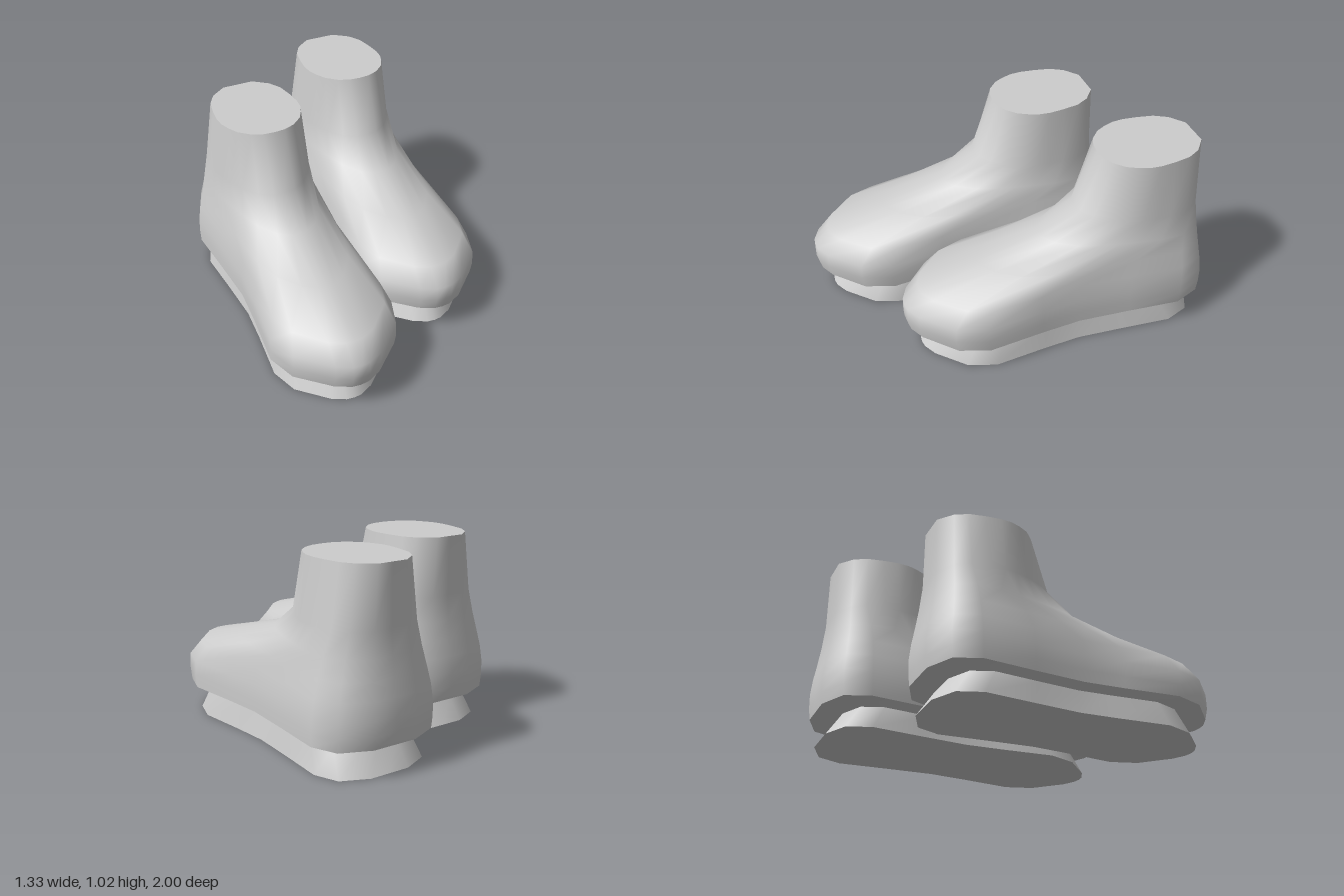
import * as THREE from 'three';

// Half outlines [x, z], from the toe round the side to the heel
const FOOT = [[0, .665], [.045, .66], [.125, .62], [.285, .47], [.34, .31], [.31, 0], [.295, -.22], [.315, -.5], [.34, -.79], [.285, -.93], [.125, -1], [0, -1]];
const SHOULDER = [[0, .58], [.045, .575], [.12, .535], [.255, .39], [.302, .25], [.288, 0], [.28, -.22], [.3, -.5], [.325, -.79], [.275, -.92], [.125, -.99], [0, -.99]];
const INSTEP = [[0, .26], [.04, .25], [.115, .2], [.2, .08], [.245, -.08], [.262, -.2], [.27, -.35], [.285, -.53], [.302, -.79], [.255, -.91], [.12, -.975], [0, -.975]];
const THROAT = [[0, -.09], [.045, -.095], [.11, -.14], [.18, -.25], [.215, -.36], [.24, -.46], [.26, -.56], [.28, -.67], [.282, -.8], [.23, -.9], [.11, -.962], [0, -.962]];
const ANKLE = [[0, -.29], [.06, -.295], [.13, -.34], [.19, -.42], [.23, -.5], [.25, -.57], [.26, -.64], [.262, -.72], [.25, -.82], [.2, -.895], [.1, -.95], [0, -.95]];
const CUFF = [[0, -.4], [.06, -.405], [.12, -.43], [.175, -.48], [.205, -.535], [.225, -.59], [.23, -.65], [.222, -.73], [.205, -.82], [.165, -.89], [.085, -.952], [0, -.952]];

// Foot outline resized to a half width and a toe-to-heel range
const fit = (halfWidth, toe, heel) => FOOT.map(([x, z]) => [
  x * halfWidth / .34, heel + (z + 1) / 1.665 * (toe - heel)]);

// Full closed ring at height y, mirrored from a half outline
function ring(y, half) {
  const other = half.slice(1, -1).reverse().map(([x, z]) => [-x, z]);
  return [...half, ...other].map(([x, z]) => [x, y, z]);
}

function geometry(points, index) {
  const g = new THREE.BufferGeometry();
  g.setAttribute('position', new THREE.Float32BufferAttribute(points.flat(), 3));
  g.setIndex(index);
  g.computeVertexNormals();
  return g;
}

// Smooth wall through a stack of rings, bottom to top
function loft(rings) {
  const n = rings[0].length, index = [];
  for (let i = 0; i < rings.length - 1; i++) {
    for (let j = 0; j < n; j++) {
      const a = i * n + j, b = i * n + (j + 1) % n;
      index.push(a, b, b + n, a, b + n, a + n);
    }
  }
  return geometry(rings.flat(), index);
}

// Flat lid on a ring, facing up or down
function lid(points, up) {
  const n = points.length, index = [];
  const centre = [0, points[0][1], (points[0][2] + points[n / 2][2]) / 2];
  for (let j = 0; j < n; j++) {
    const k = (j + 1) % n;
    index.push(n, up ? j : k, up ? k : j);
  }
  return geometry([...points, centre], index);
}

export function createModel() {
  const grey = new THREE.MeshStandardMaterial({ color: 0xcccccc });
  grey.name = 'light grey';

  const ground = ring(0, fit(.305, .58, -.955));
  const soleTop = ring(.13, fit(.275, .495, -.87));
  const lip = ring(.155, fit(.338, .648, -.99));
  const cuff = ring(1.022, CUFF);

  const parts = {
    soleBottom: lid(ground, false),
    soleWall: loft([ground, soleTop]),
    welt: loft([soleTop, lip]),
    upper: loft([
      lip, ring(.22, fit(.34, .664, -.998)), ring(.3, fit(.338, .663, -1)),
      ring(.39, SHOULDER), ring(.48, INSTEP), ring(.58, THROAT),
      ring(.71, ANKLE), cuff,
    ]),
    cuffTop: lid(cuff, true),
  };

  function boot(name, x, z) {
    const group = new THREE.Group();
    group.name = name;
    for (const [part, geo] of Object.entries(parts)) {
      const mesh = new THREE.Mesh(geo, grey);
      mesh.name = part;
      group.add(mesh);
    }
    group.position.set(x, 0, z);
    return group;
  }

  // The right boot stands a step ahead of the left
  const model = new THREE.Group();
  model.name = 'boots';
  model.add(boot('leftBoot', .325, 0), boot('rightBoot', -.325, .335));
  return model;
}
